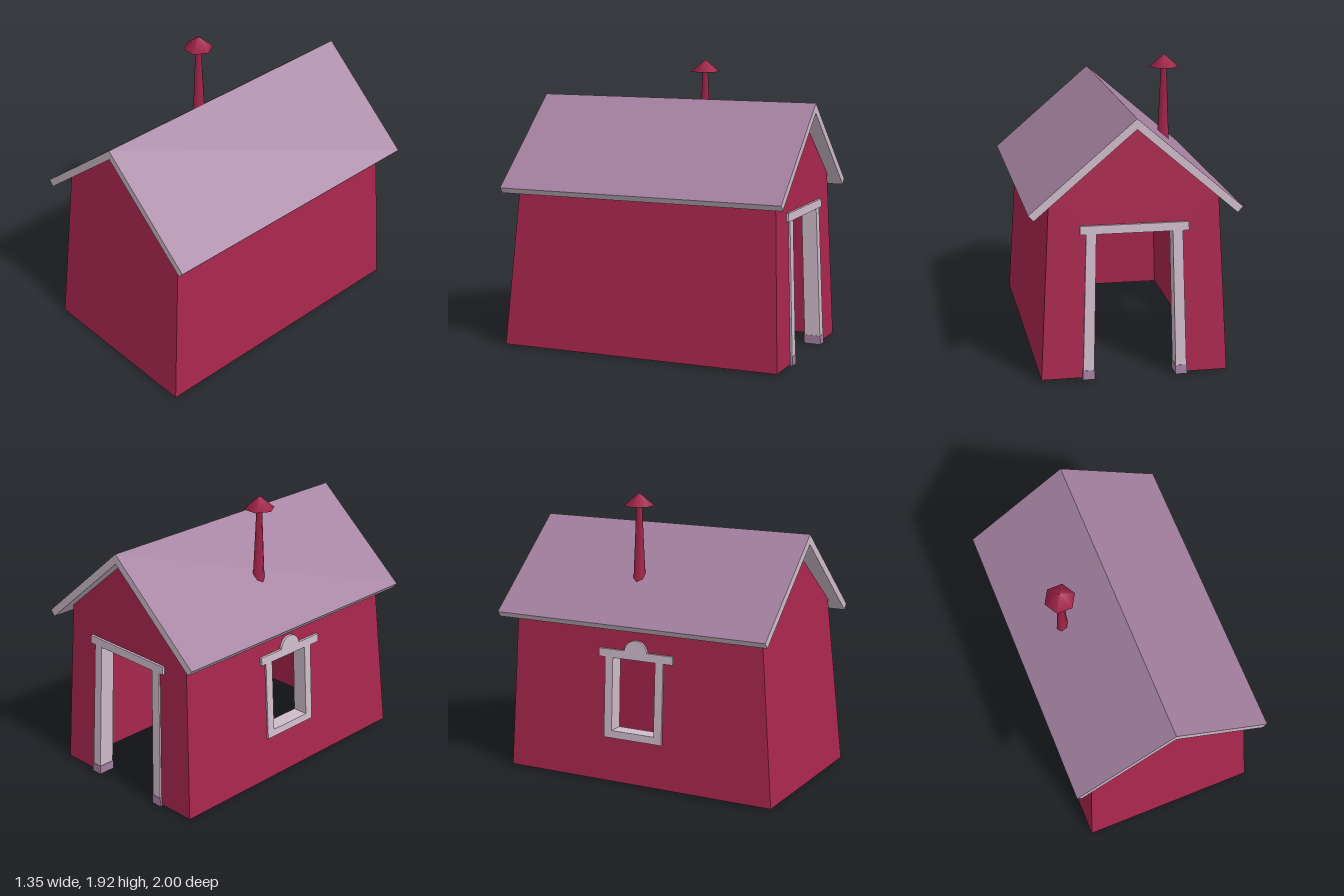
import * as THREE from 'three';

const mat = (name, color) => {
  const m = new THREE.MeshStandardMaterial({ color });
  m.name = name;
  return m;
};

// Lean everything inward with height, like the tapering walls
function taper(geometry, kz = 0.0656) {
  const g = geometry.index ? geometry.toNonIndexed() : geometry;
  const p = g.attributes.position, zc = -0.38;
  for (let i = 0; i < p.count; i++) {
    const y = p.getY(i);
    p.setX(i, p.getX(i) * (1 - 0.088 * y));
    p.setZ(i, zc + (p.getZ(i) - zc) * (1 - kz * y));
  }
  g.computeVertexNormals();
  return g;
}

const polygon = (pts) => new THREE.Shape(pts.map(([x, y]) => new THREE.Vector2(x, y)));
const extrude = (shape, depth) =>
  new THREE.ExtrudeGeometry(shape, { depth, bevelEnabled: false, curveSegments: 12 });

// Box given by its limits
function block(x0, x1, y0, y1, z0, z1) {
  return new THREE.BoxGeometry(x1 - x0, y1 - y0, z1 - z0)
    .translate((x0 + x1) / 2, (y0 + y1) / 2, (z0 + z1) / 2);
}

export function createModel() {
  const red = mat('wall red', 0xa9264e);
  const purple = mat('roof purple', 0xa3809f);
  const trim = mat('pale trim', 0xcfbccb);
  const model = new THREE.Group();
  model.name = 'house';
  const add = (name, geometry, material, parent = model) => {
    const mesh = new THREE.Mesh(geometry, material);
    mesh.name = name;
    parent.add(mesh);
    return mesh;
  };

  // Walls: two gables and two sides, open below
  const T = 0.09, B = 0.01;
  const front = polygon([[-0.6, B], [0.6, B], [0.6, 1.16], [0, 1.63], [-0.6, 1.16]]);
  add('frontWall', taper(extrude(front, T).translate(0, 0, 1 - T)), red);

  const back = polygon([[-0.6, B], [-0.3, B], [-0.3, 0.97], [0.3, 0.97], [0.3, B],
    [0.6, B], [0.6, 1.16], [0, 1.63], [-0.6, 1.16]]);
  add('backWall', taper(extrude(back, T).translate(0, 0, -0.96)), red);

  for (const s of [1, -1]) {
    const side = polygon([[-0.87, B], [0.91, B], [0.91, 1.2], [-0.87, 1.2]]);
    if (s < 0) {
      side.holes.push(polygon([[-0.185, 0.34], [-0.185, 0.88], [0.19, 0.88], [0.19, 0.34]]));
    }
    const g = extrude(side, T).rotateY(-Math.PI / 2).translate(s > 0 ? 0.6 : -0.6 + T, 0, 0);
    add(s > 0 ? 'leftWall' : 'rightWall', taper(g), red);
  }

  // Roof slabs: purple on top, pale edges and underside
  const pitch = Math.atan2(0.58, 0.675), length = Math.hypot(0.58, 0.675);
  for (const s of [1, -1]) {
    const g = new THREE.BoxGeometry(length, 0.05, 1.98).translate(s * length / 2, -0.025, 0);
    const slab = add(s > 0 ? 'leftRoof' : 'rightRoof', g, [trim, trim, purple, trim, trim, trim]);
    slab.position.set(0, 1.68, -0.01);
    slab.rotation.z = -s * pitch;
  }

  // Chimney pipe with its hood, six-sided
  const profile = [[0.041, 1.33], [0.019, 1.84], [0.102, 1.84], [0, 1.925]]
    .map(([r, y]) => new THREE.Vector2(r, y));
  add('chimney', new THREE.LatheGeometry(profile, 6, Math.PI / 2), red).position.set(-0.355, 0, -0.08);

  // Door frame on the back
  const door = new THREE.Group();
  door.name = 'doorFrame';
  model.add(door);
  for (const s of [1, -1]) {
    const [a, b] = s > 0 ? [0.265, 0.335] : [-0.335, -0.265];
    add('doorPost', taper(block(a, b, 0.06, 0.95, -0.972, -0.862)), trim, door);
    add('doorPlinth', taper(block(a - 0.003, b + 0.003, 0, 0.06, -0.975, -0.859)), purple, door);
  }
  add('doorLintel', taper(block(-0.378, 0.378, 0.945, 1.0, -0.977, -0.857)), trim, door);

  // Window frame on the right side
  const win = new THREE.Group();
  win.name = 'windowFrame';
  model.add(win);
  for (const z of [-0.225, 0.15]) {
    add('windowJamb', taper(block(-0.612, -0.502, 0.36, 0.86, z, z + 0.058), 0), trim, win);
  }
  add('windowSill', taper(block(-0.612, -0.502, 0.31, 0.36, -0.225, 0.208), 0), trim, win);
  add('windowHeader', taper(block(-0.618, -0.5, 0.855, 0.91, -0.27, 0.28), 0), trim, win);
  const arch = new THREE.Shape();
  arch.absarc(0.005, 0.9, 0.085, 0, Math.PI, false);
  const crest = extrude(arch, 0.05).rotateY(-Math.PI / 2).translate(-0.568, 0, 0);
  add('windowCrest', taper(crest, 0), trim, win);

  return model;
}
